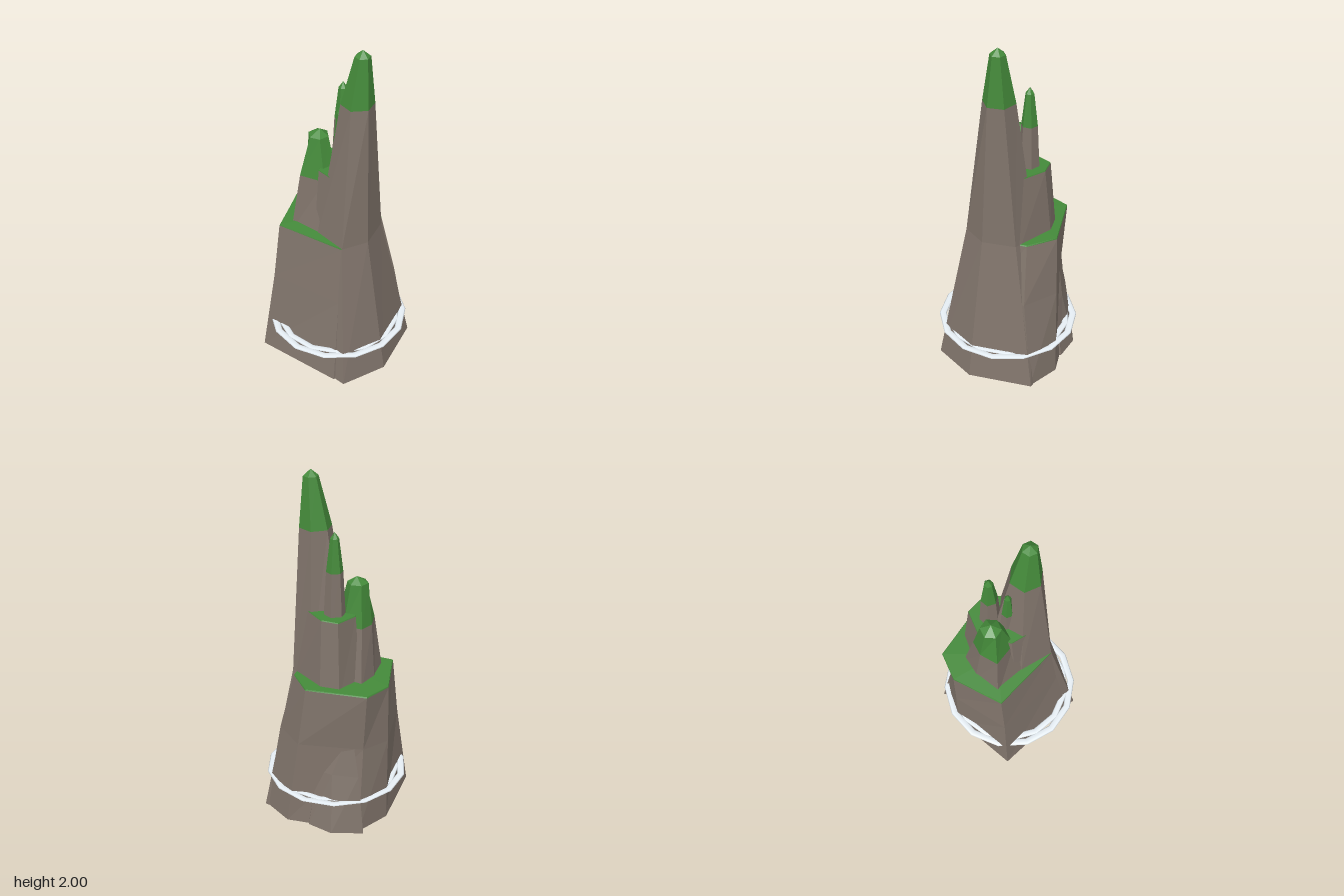
import * as THREE from 'three';

const rock = new THREE.MeshStandardMaterial({ color: 0x7f736a, flatShading: true });
const moss = new THREE.MeshStandardMaterial({ color: 0x448a3a, flatShading: true });
const foam = new THREE.MeshStandardMaterial({ color: 0xe6eef4 });

// Skin a stack of [y, [[x, z], ...]] outlines, closed by a fan at each end
function loft(name, material, sections, tip, closeBottom = false) {
  const pos = [];
  const tri = (a, b, c) => pos.push(...a, ...b, ...c);
  const rings = sections.map(([y, pts]) => pts.map(([x, z]) => [x, y, z]));
  const n = rings[0].length;
  const middle = (r) => [0, 1, 2].map((k) => r.reduce((s, p) => s + p[k], 0) / n);
  const last = rings[rings.length - 1];
  const top = tip || middle(last), bottom = middle(rings[0]);
  for (let i = 0; i < n; i++) {
    const j = (i + 1) % n;
    for (let r = 0; r + 1 < rings.length; r++) {
      const a = rings[r], b = rings[r + 1];
      tri(a[i], a[j], b[j]);
      tri(a[i], b[j], b[i]);
    }
    tri(last[i], last[j], top);
    if (closeBottom) tri(rings[0][j], rings[0][i], bottom);
  }
  const geo = new THREE.BufferGeometry();
  geo.setAttribute('position', new THREE.Float32BufferAttribute(pos, 3));
  geo.computeVertexNormals();
  const mesh = new THREE.Mesh(geo, material);
  mesh.name = name;
  return mesh;
}

// Regular six-sided outline around a centre
function hexagon(cx, cz, r, turn) {
  return Array.from({ length: 6 }, (_, i) => {
    const a = turn + (i / 6) * Math.PI * 2;
    return [cx + r * Math.sin(a), cz + r * Math.cos(a)];
  });
}

// Rock column; the sections from index `split` up are mossy
function spire(name, sections, split, tip) {
  const g = new THREE.Group();
  g.name = name;
  g.add(loft(name + 'Rock', rock, sections.slice(0, split + 1), null, true));
  g.add(loft(name + 'Moss', moss, sections.slice(split), tip));
  return g;
}

export function createModel() {
  const model = new THREE.Group();
  model.name = 'rockSpires';

  // Broad lower block with a mossy ledge
  model.add(spire('lowerLedge', [
    [0, [[-0.03, 0.38], [0.22, 0.22], [0.43, -0.04], [0.335, -0.215], [-0.05, -0.395], [-0.235, -0.29], [-0.445, 0.065]]],
    [0.52, [[0, 0.29], [0.17, 0.18], [0.335, -0.02], [0.265, -0.225], [-0.08, -0.345], [-0.235, -0.28], [-0.365, 0.035]]],
    [0.865, [[0.02, 0.24], [0.14, 0.14], [0.255, -0.05], [0.22, -0.23], [-0.09, -0.372], [-0.23, -0.28], [-0.325, 0.01]]],
    [0.872, [[0.02, 0.238], [0.14, 0.14], [0.25, -0.05], [0.218, -0.228], [-0.09, -0.368], [-0.229, -0.278], [-0.32, 0.01]]],
  ], 2, [-0.05, 0.885, -0.06]));

  // Low buttress against the back
  model.add(loft('backButtress', rock, [
    [0, [[-0.07, -0.1], [0.2, -0.1], [0.22, -0.28], [0.11, -0.385], [-0.07, -0.42]]],
    [0.35, [[-0.04, -0.1], [0.14, -0.1], [0.16, -0.25], [0.09, -0.31], [-0.05, -0.365]]],
  ], [-0.02, 0.65, -0.3], true));

  // Middle block with the second ledge
  model.add(spire('upperLedge', [
    [0.8, [[-0.07, 0.15], [0.11, 0.13], [0.25, 0], [0.14, -0.22], [0.04, -0.272], [-0.09, -0.2], [-0.13, 0.06]]],
    [1.25, [[-0.04, 0.1], [0.1, 0.08], [0.19, 0], [0.12, -0.18], [0.04, -0.23], [-0.07, -0.16], [-0.1, 0.03]]],
    [1.255, [[-0.04, 0.098], [0.1, 0.08], [0.188, 0], [0.118, -0.178], [0.04, -0.227], [-0.068, -0.158], [-0.098, 0.03]]],
  ], 1));

  // Tallest spire, at the front
  model.add(spire('tallSpire', [
    [0, [[0.025, 0.42], [0.27, 0.29], [0.44, -0.04], [0.28, -0.21], [-0.1, -0.1], [-0.2, 0.2]]],
    [0.87, [[0.02, 0.24], [0.165, 0.18], [0.25, 0.01], [0.17, -0.12], [-0.03, -0.13], [-0.11, 0.09]]],
    [1.69, hexagon(0.104, 0.067, 0.09, -0.45)],
    [1.965, hexagon(0.125, 0.078, 0.042, -0.45)],
  ], 2, [0.125, 2, 0.078]));

  // Side spire standing on the lower ledge
  model.add(spire('sideSpire', [
    [0.8, [[-0.08, 0.13], [0.05, 0.03], [0.04, -0.15], [-0.085, -0.25], [-0.18, -0.165], [-0.26, -0.02]]],
    [1.18, [[-0.07, 0.04], [0, -0.01], [-0.01, -0.12], [-0.1, -0.18], [-0.165, -0.13], [-0.202, -0.03]]],
    [1.415, hexagon(-0.097, -0.08, 0.058, 0.1)],
  ], 1, [-0.09, 1.45, -0.08]));

  // Two slim pinnacles on the upper ledge
  for (const [name, x, z, y, r] of [['backPinnacle', 0.035, -0.11, 1.72, 1], ['innerPinnacle', 0.015, -0.01, 1.62, 0.75]]) {
    model.add(spire(name, [
      [1.2, hexagon(x, z, 0.062 * r, 0.5)],
      [y - 0.22, hexagon(x, z, 0.046 * r, 0.5)],
      [y - 0.035, hexagon(x, z, 0.024 * r, 0.5)],
    ], 1, [x, y, z]));
  }

  // Flat foam rings around the foot
  for (const [name, radius, tube, turn] of [['outerFoamRing', 0.39, 0.021, 0], ['innerFoamRing', 0.35, 0.019, 0.2]]) {
    const ring = new THREE.Mesh(new THREE.TorusGeometry(radius, tube, 8, 14), foam);
    ring.geometry.rotateX(Math.PI / 2).rotateY(turn);
    ring.scale.y = 0.25;
    ring.position.set(0.005, 0.2, 0);
    ring.name = name;
    model.add(ring);
  }
  return model;
}
